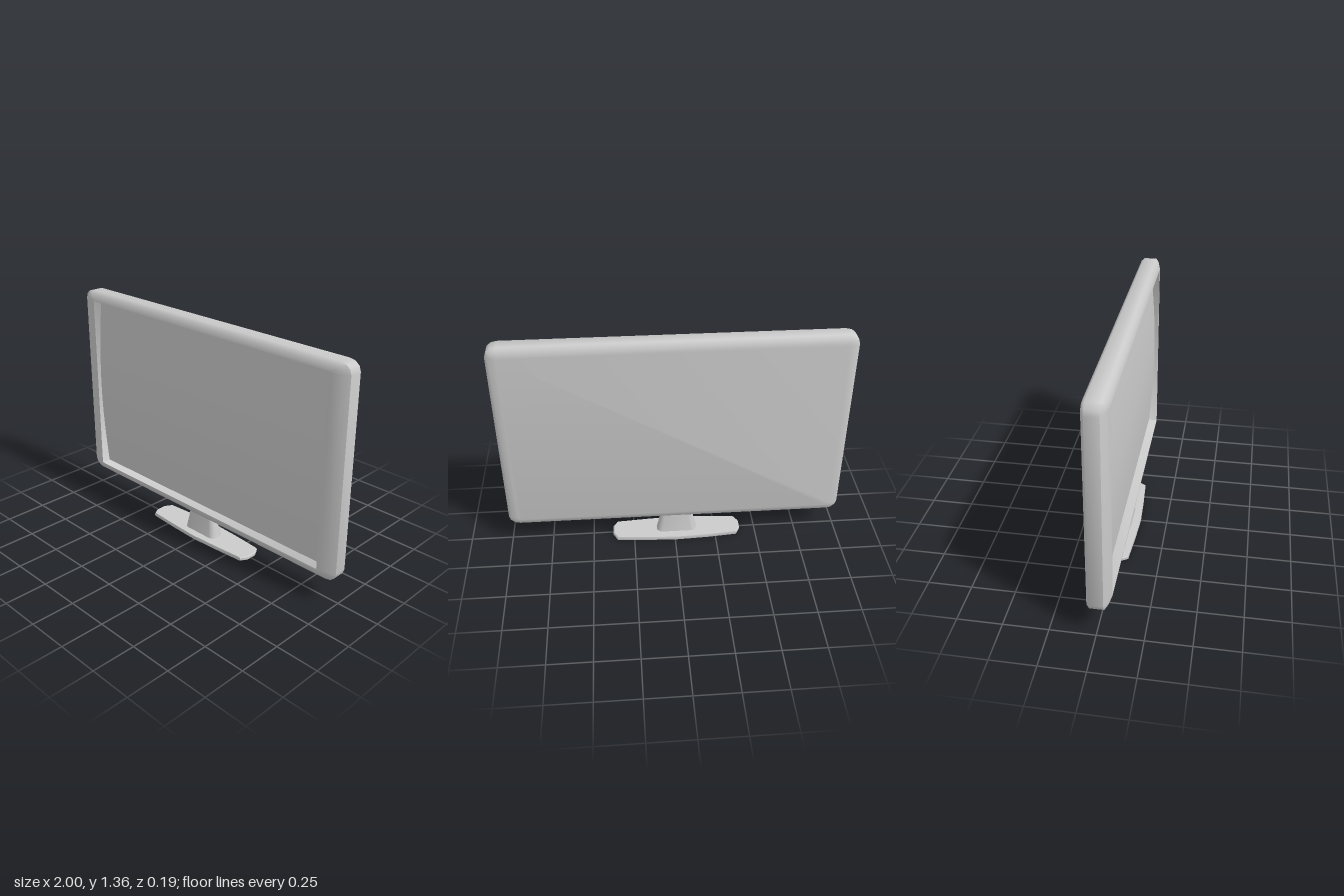
import * as THREE from 'three';
import { toCreasedNormals } from 'three/addons/utils/BufferGeometryUtils.js';

const material = new THREE.MeshStandardMaterial({ color: 0xcccccc, side: THREE.DoubleSide });

// Skin a stack of counter-clockwise rings, each { z, points: [[x, y], ...] }, with optional end caps
function loft(rings, capStart, capEnd, crease = 0.9) {
  const n = rings[0].points.length, pos = [], index = [];
  for (const { z, points } of rings) for (const [x, y] of points) pos.push(x, y, z);
  for (let i = 0; i < rings.length - 1; i++) {
    for (let j = 0; j < n; j++) {
      const a = i * n + j, b = i * n + (j + 1) % n;
      index.push(a, b, b + n, a, b + n, a + n);
    }
  }
  const last = (rings.length - 1) * n;
  for (let j = 1; j < n - 1; j++) {
    if (capStart) index.push(0, j + 1, j);
    if (capEnd) index.push(last, last + j, last + j + 1);
  }
  const geo = new THREE.BufferGeometry();
  geo.setAttribute('position', new THREE.Float32BufferAttribute(pos, 3));
  geo.setIndex(index);
  return toCreasedNormals(geo, crease);
}

// Rectangle outline with elliptical corners
function roundRect(cx, cy, hw, hh, rx, ry, steps = 3) {
  const points = [];
  [[1, 1], [-1, 1], [-1, -1], [1, -1]].forEach(([sx, sy], q) => {
    for (let k = 0; k <= steps; k++) {
      const a = (q + k / steps) * Math.PI / 2;
      points.push([
        cx + sx * (hw - rx) + rx * Math.cos(a),
        cy + sy * (hh - ry) + ry * Math.sin(a),
      ]);
    }
  });
  return points;
}

function add(group, name, geo) {
  const mesh = new THREE.Mesh(geo, material);
  mesh.name = name;
  group.add(mesh);
  return mesh;
}

export function createModel() {
  const group = new THREE.Group();
  group.name = 'monitor';
  const midY = 0.75, halfH = 0.605;

  // Housing: z, inset x, inset y, corner radius x, corner radius y; runs from the back into the screen recess
  const housing = [
    [-0.058, 0.06, 0.045, 0.015, 0.015],
    [-0.051, 0.02, 0.014, 0.045, 0.04],
    [-0.035, 0, 0, 0.065, 0.055],
    [0.04, 0, 0, 0.065, 0.055],
    [0.057, 0.035, 0.018, 0.04, 0.04],
    [0.07, 0.09, 0.045, 0.012, 0.012],
    [0.07, 0.105, 0.055, 0.001, 0.001],
    [0.01, 0.112, 0.061, 0.001, 0.001],
  ].map(([z, ix, iy, rx, ry]) => ({
    z, points: roundRect(0, midY, 1 - ix, halfH - iy, rx, ry),
  }));
  add(group, 'housing', loft(housing, true, false));

  // Screen: sheet bowed gently forward at mid height
  const screen = new THREE.PlaneGeometry(1.784, 1.094, 1, 16);
  const p = screen.attributes.position;
  for (let i = 0; i < p.count; i++) {
    p.setZ(i, 0.018 + 0.03 * Math.cos(p.getY(i) / 0.547 * Math.PI / 2));
  }
  screen.computeVertexNormals();
  add(group, 'screen', screen).position.y = midY;

  // Neck: tapered column with rounded corners
  const neck = [
    [0.015, 0.124, 0.046],
    [0.08, 0.109, 0.038],
    [0.17, 0.091, 0.029],
  ].map(([z, hw, hd]) => ({
    z, points: roundRect(-0.013, 0, hw, hd, hd * 0.8, hd * 0.8),
  }));
  add(group, 'neck', loft(neck, true, true).rotateX(-Math.PI / 2));

  // Base: long flat foot, widest in the middle, with clipped ends
  const outline = [
    [0.38, -0.03], [0.38, 0.03], [0.355, 0.075], [0.17, 0.09], [-0.013, 0.098], [-0.2, 0.09],
    [-0.38, 0.075], [-0.405, 0.03], [-0.405, -0.03], [-0.38, -0.07],
    [-0.2, -0.083], [-0.013, -0.092], [0.17, -0.083], [0.355, -0.07],
  ];
  const foot = [[0, 0.99], [0.004, 1], [0.017, 1], [0.023, 0.985]].map(([z, s]) => ({
    z, points: outline.map(([x, y]) => [-0.013 + (x + 0.013) * s, y * s]),
  }));
  add(group, 'base', loft(foot, true, true, 0.7).rotateX(-Math.PI / 2));

  return group;
}
